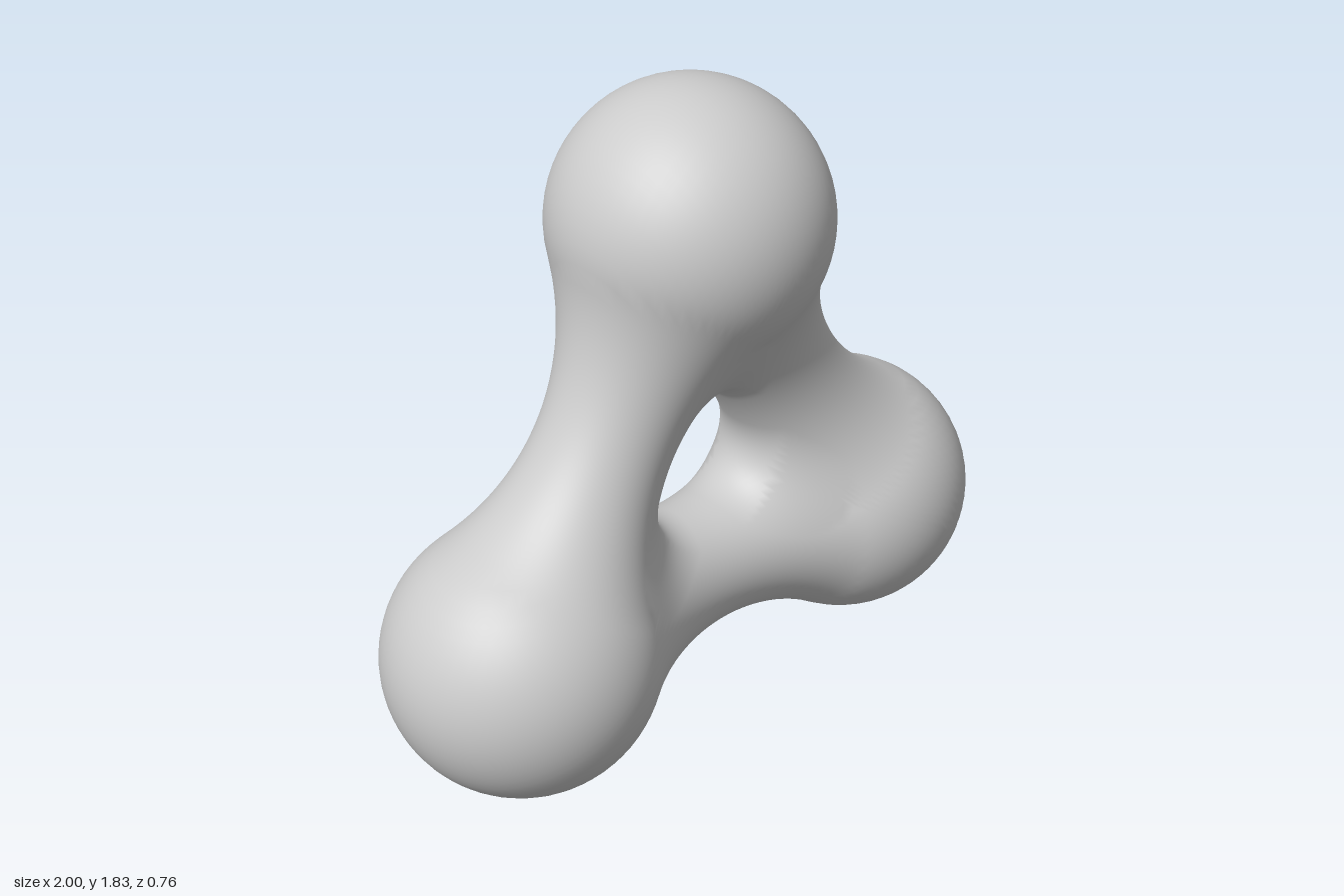
import * as THREE from 'three';

// Three equal balls on an equilateral triangle, joined by tangent concave necks
const BALL = 0.38, HALF = 0.62, NECK = 0.185;
const FILLET = (HALF ** 2 + NECK ** 2 - BALL ** 2) / (2 * (BALL - NECK));
const INRADIUS = HALF / Math.sqrt(3), CENTRE_Y = BALL + INRADIUS;

// Signed distance to two balls and the hourglass neck between them
function dumbbell(t, q) {
  t = Math.abs(t);
  const c = NECK + FILLET;
  if (t * c < HALF * (c - q)) return FILLET - Math.hypot(t, c - q);
  return Math.hypot(t - HALF, q) - BALL;
}

function smoothMin(a, b, k) {
  const h = Math.max(k - Math.abs(a - b), 0);
  return Math.min(a, b) - (k > 0 ? h * h / (4 * k) : 0);
}

// Union of the three dumbbells, softened only in the inner crotches
function distance(x, y, z) {
  const r = Math.hypot(x, y, z);
  const k = 0.18 * THREE.MathUtils.clamp((0.52 - r) / 0.25, 0, 1);
  let d = Infinity;
  for (let i = 0; i < 3; i++) {
    const a = -Math.PI / 2 + i * 2 * Math.PI / 3;
    const out = x * Math.cos(a) + y * Math.sin(a) - INRADIUS;
    const along = -x * Math.sin(a) + y * Math.cos(a);
    const next = dumbbell(along, Math.hypot(out, z));
    d = i === 0 ? next : smoothMin(d, next, k);
  }
  return d;
}

export function createModel() {
  const group = new THREE.Group();
  group.name = 'triangleOfBalls';

  // A torus whose core follows the triangle and whose tube is pushed out to the surface
  const geo = new THREE.TorusGeometry(1, 0.3, 80, 192);
  const { position, normal, uv } = geo.attributes;
  const third = 2 * Math.PI / 3;
  for (let i = 0; i < position.count; i++) {
    const u = uv.getX(i) * 2 * Math.PI, v = uv.getY(i) * 2 * Math.PI;
    const fromMid = THREE.MathUtils.euclideanModulo(u + Math.PI / 2 + third / 2, third) - third / 2;
    const core = INRADIUS / Math.cos(fromMid);
    const cu = Math.cos(u), su = Math.sin(u), cv = Math.cos(v), sv = Math.sin(v);
    let lo = 0, hi = cv < 0 ? Math.min(0.6, (core - 0.02) / -cv) : 0.6;
    for (let s = 0; s < 26; s++) {
      const m = (lo + hi) / 2, R = core + m * cv;
      if (distance(R * cu, R * su, m * sv) < 0) lo = m; else hi = m;
    }
    const R = core + lo * cv, x = R * cu, y = R * su, z = lo * sv, e = 0.004;
    position.setXYZ(i, x, y, z);
    const n = new THREE.Vector3(
      distance(x + e, y, z) - distance(x - e, y, z),
      distance(x, y + e, z) - distance(x, y - e, z),
      distance(x, y, z + e) - distance(x, y, z - e)).normalize();
    normal.setXYZ(i, n.x, n.y, n.z);
  }
  geo.translate(0, CENTRE_Y, 0);

  const body = new THREE.Mesh(geo, new THREE.MeshStandardMaterial({ color: 0xcccccc }));
  body.name = 'blendedBody';
  group.add(body);
  return group;
}
